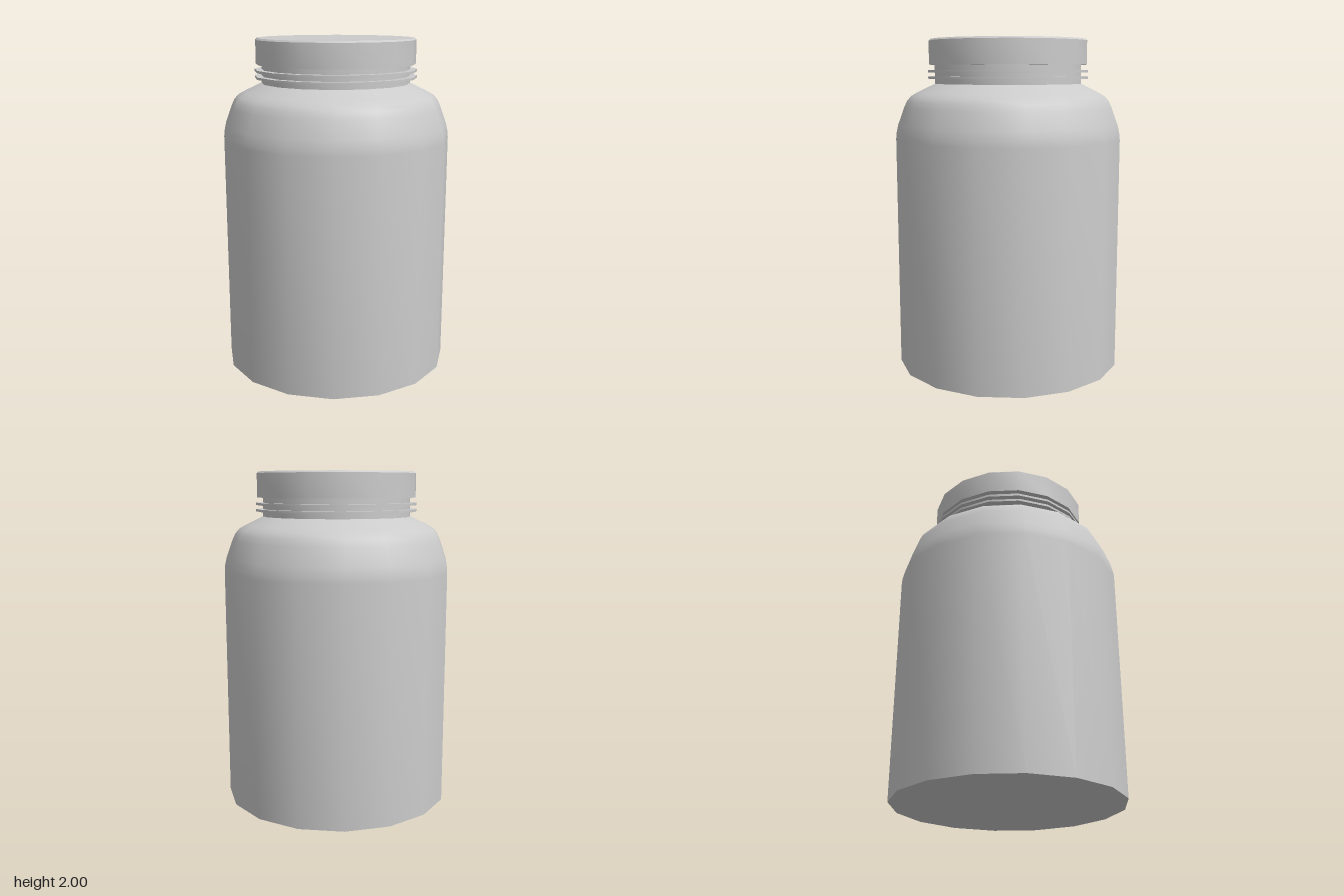
import * as THREE from 'three';
import { toCreasedNormals } from 'three/addons/utils/BufferGeometryUtils.js';

const SIDES = 16;
const material = new THREE.MeshStandardMaterial({ color: 0xcccccc });

// Revolve a [radius, height] profile, bottom to top; smooth around, sharp at rims
function turned(name, profile) {
  const points = profile.map(([r, y]) => new THREE.Vector2(r, y));
  const geometry = toCreasedNormals(new THREE.LatheGeometry(points, SIDES), 0.65);
  const mesh = new THREE.Mesh(geometry, material);
  mesh.name = name;
  return mesh;
}

export function createModel() {
  const jar = new THREE.Group();
  jar.name = 'jar';

  // Straight wall, rounded shoulder
  jar.add(turned('body', [
    [0, 0], [0.686, 0], [0.686, 1.405], [0.683, 1.44], [0.672, 1.49],
    [0.634, 1.595], [0.617, 1.632], [0.592, 1.662], [0.55, 1.686], [0.447, 1.735],
  ]));

  // Neck running up inside the cap
  jar.add(turned('neck', [[0.447, 1.73], [0.447, 1.86]]));

  // Two thin thread rings
  for (const y of [1.765, 1.803]) {
    jar.add(turned('threadRing', [
      [0.44, y], [0.488, y], [0.488, y + 0.014], [0.44, y + 0.014],
    ]));
  }

  // Cap with a small bevel at the top edge
  jar.add(turned('cap', [
    [0, 1.848], [0.481, 1.848], [0.481, 1.99], [0.471, 2], [0, 2],
  ]));

  return jar;
}
